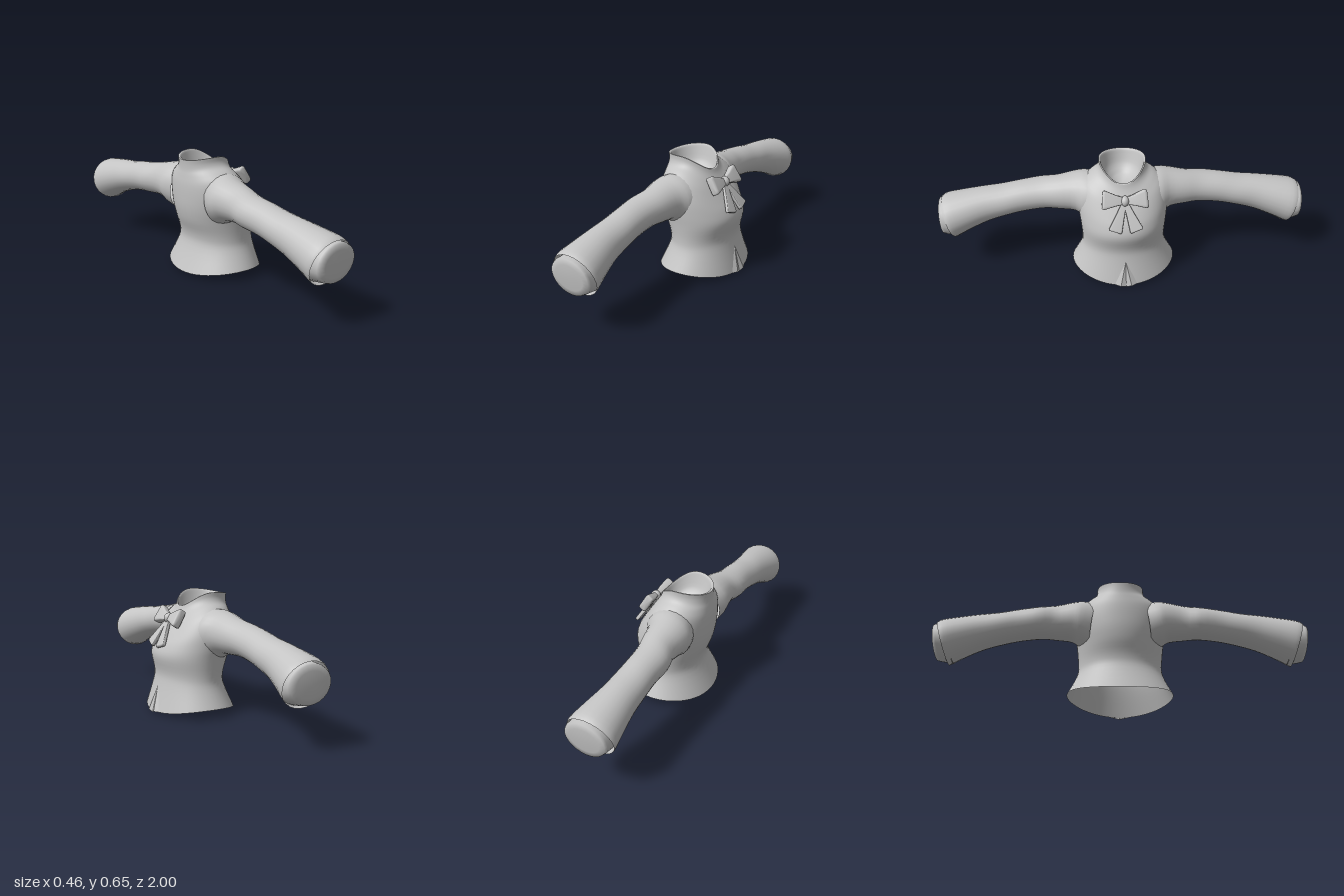
import * as THREE from 'three';

const cloth = new THREE.MeshStandardMaterial({ color: 0xc4c4c4, side: THREE.DoubleSide });
cloth.name = 'plain grey cloth';

// Smooth skin through closed rings; ring(row, angle) gives one point.
function loft(rows, ring, n, capEnd) {
  const pos = [], idx = [];
  for (const row of rows)
    for (let j = 0; j < n; j++) pos.push(...ring(row, (j / n) * Math.PI * 2));
  for (let i = 0; i < rows.length - 1; i++)
    for (let j = 0; j < n; j++) {
      const k = (j + 1) % n, a = i * n + j, b = i * n + k;
      idx.push(a, a + n, b, b, a + n, b + n);
    }
  if (capEnd) {
    const c = pos.length / 3, s = (rows.length - 1) * n;
    pos.push(...capEnd);
    for (let j = 0; j < n; j++) idx.push(s + j, c, s + ((j + 1) % n));
  }
  const g = new THREE.BufferGeometry();
  g.setAttribute('position', new THREE.Float32BufferAttribute(pos, 3));
  g.setIndex(idx);
  g.computeVertexNormals();
  return g;
}

// Catmull-Rom refinement of a list of rows.
function refine(rows, steps) {
  const out = [], at = (i) => rows[Math.min(rows.length - 1, Math.max(0, i))];
  for (let i = 0; i < rows.length - 1; i++)
    for (let s = 0; s < steps; s++) {
      const t = s / steps, p = at(i - 1), q = at(i), r = at(i + 1), u = at(i + 2);
      out.push(q.map((_, k) => q[k] + 0.5 * t * (r[k] - p[k] + t * (2 * p[k] - 5 * q[k] + 4 * r[k] - u[k]
        + t * (3 * (q[k] - r[k]) + u[k] - p[k])))));
    }
  out.push(rows[rows.length - 1]);
  return out;
}

function add(parent, name, geometry) {
  const m = new THREE.Mesh(geometry, cloth);
  m.name = name;
  parent.add(m);
  return m;
}

// Horizontal ring: [y back, y side, y front, x back, x front, half width]
function bodyRing([yb, ys, yf, xb, xf, hz], t) {
  const c = Math.cos(t), s = Math.sin(t);
  const y = ys * s * s + (c > 0 ? yf : yb) * c * c;
  return [(xb + xf) / 2 + ((xf - xb) / 2) * c, y, hz * s];
}

// Ring across z: [z top, z bottom, y top, y bottom, x min, x max]
function sleeveRing([zt, zb, yt, yb, x0, x1], t) {
  const c = Math.cos(t), s = Math.sin(t);
  return [(x0 + x1) / 2 + ((x1 - x0) / 2) * s, (yt + yb) / 2 + ((yt - yb) / 2) * c,
    (zt + zb) / 2 + ((zt - zb) / 2) * c];
}

// Rounded-rectangle ring for ribbon pieces: [z, half height, half thickness]
function ribbonRing([z, h, w], t) {
  const sq = (v) => Math.sign(v) * Math.pow(Math.abs(v), 0.35);
  return [w * sq(Math.sin(t)), h * sq(Math.cos(t)), z];
}

function makeBow() {
  const bow = new THREE.Group();
  bow.name = 'bow';
  for (const side of [1, -1]) {
    const half = new THREE.Group();
    half.name = side > 0 ? 'bowLeftHalf' : 'bowRightHalf';
    half.scale.z = side;
    add(half, 'bowLoop', loft([[0.005, 0.018, 0.012], [0.05, 0.03, 0.02], [0.105, 0.05, 0.023],
      [0.114, 0.05, 0.022], [0.12, 0.042, 0.016]], ribbonRing, 20, [0, 0, 0.12])).rotation.x = -0.08;
    const tail = add(half, 'bowTail', loft([[0, 0.012, 0.008], [0.08, 0.022, 0.011], [0.165, 0.036, 0.011],
      [0.172, 0.033, 0.008]], ribbonRing, 20, [0, 0, 0.172]));
    tail.rotation.x = 1.23;
    tail.position.x = -0.004;
    bow.add(half);
  }
  add(bow, 'bowKnot', new THREE.SphereGeometry(0.027, 20, 14)).scale.set(1, 1.05, 0.85);
  bow.position.set(0.122, 0.51, 0);
  bow.rotation.z = 0.54;
  return bow;
}

export function createModel() {
  const jacket = new THREE.Group();
  jacket.name = 'jacket';

  // Flared waist, chest and shoulders up to the collar rim
  const body = [
    [0.015, 0.05, 0.01, -0.23, 0.222, 0.285],
    [0.15, 0.15, 0.15, -0.175, 0.187, 0.237],
    [0.22, 0.21, 0.22, -0.172, 0.18, 0.226],
    [0.3, 0.3, 0.31, -0.2, 0.2, 0.232],
    [0.37, 0.37, 0.37, -0.215, 0.184, 0.24],
    [0.44, 0.45, 0.42, -0.22, 0.153, 0.242],
    [0.5, 0.53, 0.47, -0.22, 0.118, 0.222],
    [0.545, 0.57, 0.505, -0.215, 0.095, 0.18],
    [0.575, 0.595, 0.53, -0.211, 0.079, 0.143],
    [0.605, 0.62, 0.55, -0.211, 0.068, 0.128],
    [0.63, 0.648, 0.57, -0.213, 0.06, 0.126],
  ];
  add(jacket, 'body', loft(refine(body, 4), bodyRing, 48));

  // Rolled collar edge and closed hollow of the neck
  add(jacket, 'neckLining', loft(refine([
    [0.63, 0.648, 0.57, -0.213, 0.06, 0.126],
    [0.628, 0.645, 0.572, -0.2, 0.052, 0.117],
    [0.6, 0.61, 0.54, -0.19, 0.045, 0.108],
    [0.55, 0.55, 0.5, -0.17, 0.03, 0.09],
    [0.51, 0.51, 0.48, -0.13, -0.01, 0.05],
  ], 3), bodyRing, 48, [-0.07, 0.485, 0]));

  // Sleeves, mirrored, with a closed cuff
  const sleeve = [
    [0.13, 0.17, 0.565, 0.29, -0.19, 0.07],
    [0.2, 0.22, 0.567, 0.315, -0.205, 0.055],
    [0.26, 0.26, 0.555, 0.337, -0.2, 0.022],
    [0.35, 0.34, 0.535, 0.345, -0.188, 0.002],
    [0.44, 0.42, 0.518, 0.345, -0.205, -0.015],
    [0.55, 0.53, 0.503, 0.333, -0.198, -0.018],
    [0.65, 0.62, 0.485, 0.315, -0.2, -0.012],
    [0.75, 0.73, 0.475, 0.283, -0.202, -0.005],
    [0.86, 0.83, 0.46, 0.242, -0.213, 0.018],
    [0.95, 0.9, 0.445, 0.208, -0.222, 0.037],
    [0.982, 0.915, 0.43, 0.2, -0.218, 0.036],
  ];
  const cuff = [
    [0.95, 0.89, 0.425, 0.21, -0.205, 0.028],
    [0.985, 0.96, 0.423, 0.222, -0.202, 0.027],
    [0.997, 0.98, 0.418, 0.228, -0.197, 0.022],
    [1.0, 0.985, 0.39, 0.255, -0.17, -0.005],
  ];
  for (const side of [1, -1]) {
    const arm = new THREE.Group();
    arm.name = side > 0 ? 'sleeveBackSide' : 'sleeveFrontSide';
    arm.name = side > 0 ? 'sleeveNear' : 'sleeveFar';
    arm.scale.z = side;
    add(arm, 'sleeve', loft(refine(sleeve, 3), sleeveRing, 24));
    add(arm, 'cuff', loft(cuff, sleeveRing, 24, [-0.088, 0.322, 0.996]));
    jacket.add(arm);
  }

  // Folded pleat at the front of the hem
  const apex = [0.189, 0.15, 0];
  const fold = [[0.216, 0.012, 0.062], [0.232, 0.01, 0.03], [0.224, 0.0, 0], [0.232, 0.01, -0.03], [0.216, 0.012, -0.062]];
  const tri = [];
  for (let i = 0; i < 4; i++) tri.push(...apex, ...fold[i], ...fold[i + 1]);
  const pleat = new THREE.BufferGeometry();
  pleat.setAttribute('position', new THREE.Float32BufferAttribute(tri, 3));
  pleat.computeVertexNormals();
  add(jacket, 'hemPleat', pleat);

  jacket.add(makeBow());
  return jacket;
}
